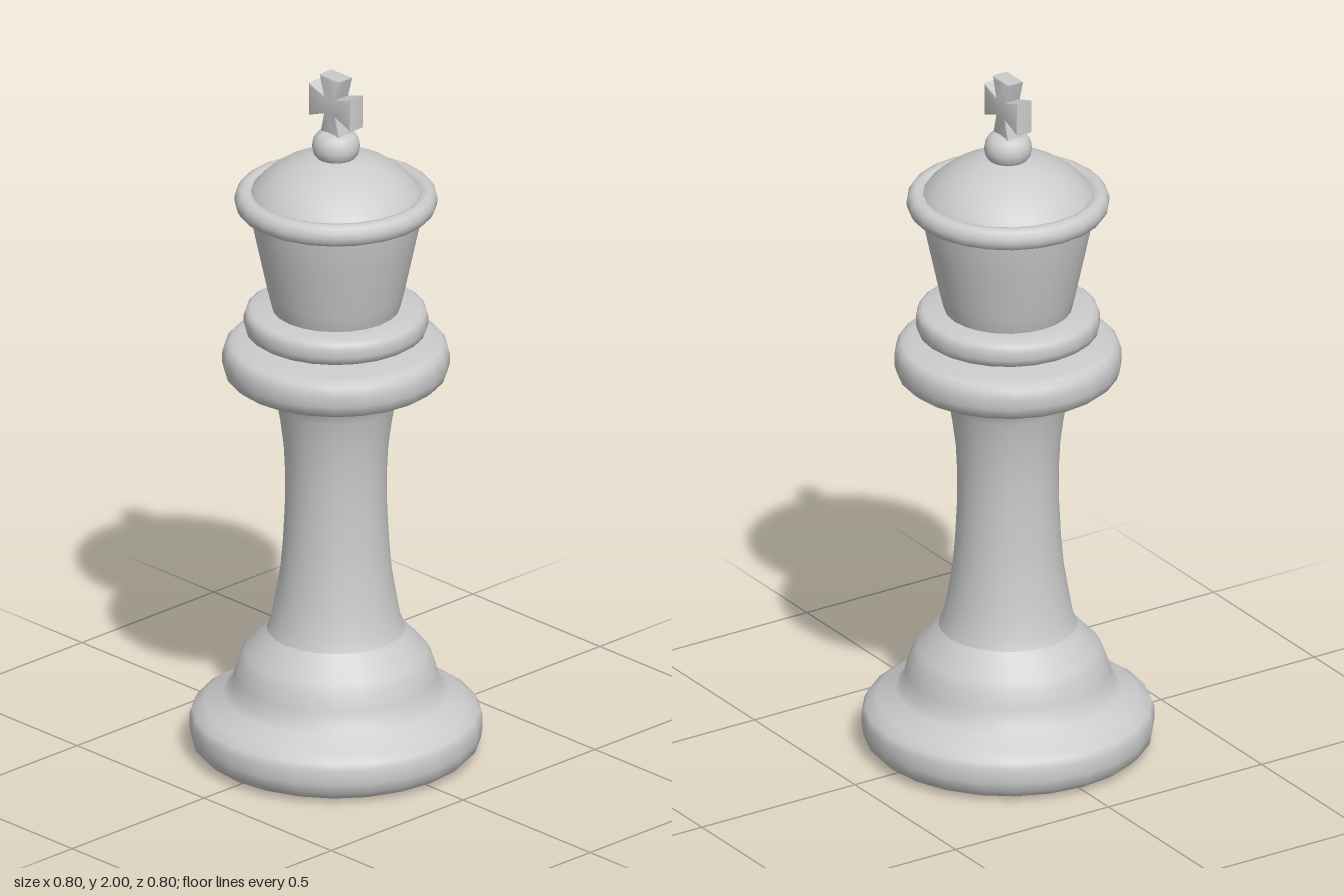
import * as THREE from 'three';
import { toCreasedNormals } from 'three/addons/utils/BufferGeometryUtils.js';

const material = new THREE.MeshStandardMaterial({ color: 0xcccccc });

// Turned part: [radius, height] pairs from bottom to top.
function turned(name, profile) {
  const points = profile.map(([r, y]) => new THREE.Vector2(r, y));
  const geometry = toCreasedNormals(new THREE.LatheGeometry(points, 24), 0.9);
  const mesh = new THREE.Mesh(geometry, material);
  mesh.name = name;
  return mesh;
}

// Flared four-armed cross with softened edges.
function finialCross() {
  const bevel = 0.005;
  const corners = [
    [0.035, 1.82], [0.019, 1.892], [0.078, 1.87], [0.078, 1.955],
    [0.019, 1.936], [0.035, 1.995],
  ];
  const outline = [...corners, ...corners.map(([x, y]) => [-x, y]).reverse()];
  const shape = new THREE.Shape(outline.map(([x, y]) => new THREE.Vector2(x, y)));
  const geometry = new THREE.ExtrudeGeometry(shape, {
    depth: 0.04, bevelEnabled: true, bevelSize: bevel, bevelThickness: bevel, bevelSegments: 2,
  });
  geometry.translate(0, 0, -0.02);
  const mesh = new THREE.Mesh(toCreasedNormals(geometry, 0.7), material);
  mesh.name = 'cross';
  return mesh;
}

export function createModel() {
  const group = new THREE.Group();
  group.name = 'chessKing';
  group.add(
    // Stepped foot with a flat underside
    turned('base', [
      [0, 0], [0.35, 0], [0.375, 0.012], [0.395, 0.032], [0.4, 0.06], [0.4, 0.1],
      [0.392, 0.118], [0.36, 0.14], [0.31, 0.168], [0.292, 0.185], [0.28, 0.225],
      [0.265, 0.27], [0.25, 0.295], [0.205, 0.342], [0.19, 0.36],
    ]),
    // Waisted column
    turned('stem', [
      [0.19, 0.36], [0.178, 0.39], [0.165, 0.46], [0.152, 0.54], [0.145, 0.62],
      [0.14, 0.72], [0.139, 0.82], [0.143, 0.9], [0.152, 0.97], [0.162, 1.03],
      [0.173, 1.07], [0.19, 1.09],
    ]),
    // Wide lower collar
    turned('lowerCollar', [
      [0.15, 1.08], [0.19, 1.083], [0.24, 1.094], [0.288, 1.108], [0.304, 1.122], [0.311, 1.145],
      [0.311, 1.175], [0.305, 1.197], [0.292, 1.21], [0.27, 1.214], [0.18, 1.222],
    ]),
    turned('neck', [[0.18, 1.21], [0.172, 1.228], [0.18, 1.245]]),
    // Narrow upper collar
    turned('upperCollar', [
      [0.17, 1.232], [0.235, 1.24], [0.247, 1.248], [0.252, 1.265], [0.252, 1.287],
      [0.247, 1.303], [0.235, 1.31], [0.17, 1.312],
    ]),
    turned('crown', [[0.17, 1.3], [0.176, 1.315], [0.187, 1.36], [0.217, 1.5], [0.238, 1.6], [0.24, 1.62]]),
    // Rounded band around the top of the crown
    turned('crownRim', [
      [0.23, 1.601], [0.255, 1.601], [0.268, 1.607], [0.276, 1.62], [0.278, 1.632],
      [0.276, 1.645], [0.268, 1.658], [0.255, 1.664], [0.24, 1.663], [0.23, 1.655],
    ]),
    turned('dome', [
      [0.235, 1.652], [0.225, 1.668], [0.195, 1.697], [0.16, 1.723], [0.12, 1.743],
      [0.08, 1.756], [0.04, 1.764], [0, 1.766],
    ]),
    // Ball below the cross
    turned('finialBall', [
      [0.045, 1.75], [0.052, 1.758], [0.062, 1.772], [0.066, 1.79], [0.063, 1.81],
      [0.054, 1.825], [0.038, 1.834], [0.018, 1.838], [0, 1.839],
    ]),
    finialCross(),
  );
  return group;
}
